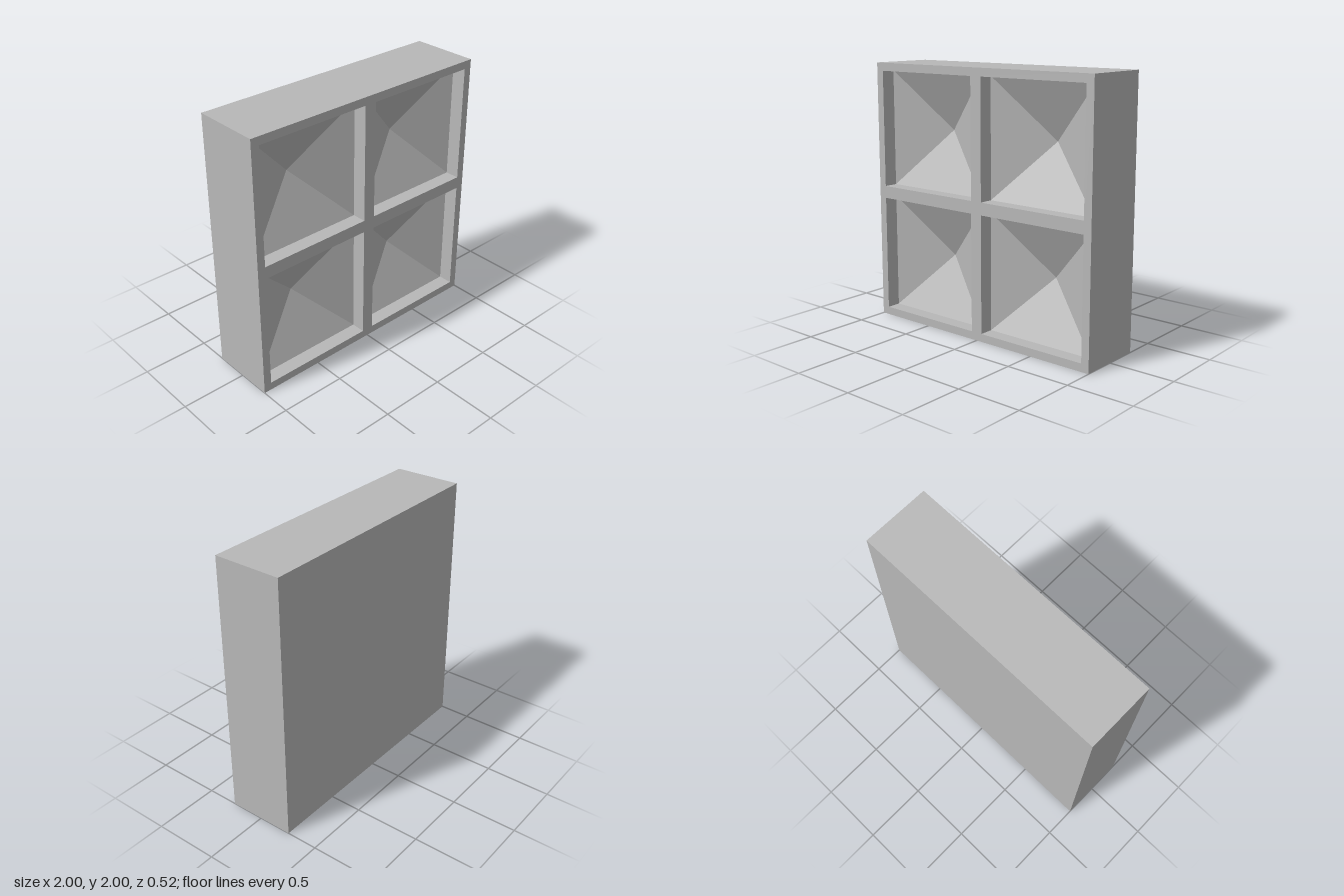
import * as THREE from 'three';

const HALF_Z = 0.26;      // half the block thickness
const POCKET = 0.446;     // half the width of one square pocket
const OFFSET = 0.493;     // pocket centre from the block centre
const RIM = 0.11;         // depth of the straight pocket walls
const APEX = 0.31;        // depth of the pyramid tip

const CORNERS = [[-1, -1], [1, -1], [1, 1], [-1, 1]].map(([x, y]) => [x * POCKET, y * POCKET]);

// Square hole with straight walls that ends in an inverted pyramid
function pocketGeometry() {
  const points = [];
  for (let i = 0; i < 4; i++) {
    const a = CORNERS[i], b = CORNERS[(i + 1) % 4];
    const a0 = [...a, 0], b0 = [...b, 0];
    const a1 = [...a, -RIM], b1 = [...b, -RIM];
    points.push(a0, b0, b1, a0, b1, a1);   // straight wall
    points.push(a1, b1, [0, 0, -APEX]);    // sloped facet
  }
  const geometry = new THREE.BufferGeometry();
  geometry.setAttribute('position', new THREE.Float32BufferAttribute(points.flat(), 3));
  geometry.computeVertexNormals();
  return geometry;
}

export function createModel() {
  const group = new THREE.Group();
  group.name = 'coffered panel';
  const grey = new THREE.MeshStandardMaterial({ color: 0xb8b8b8 });
  grey.name = 'plain grey';

  const add = (name, geometry, x, y, z) => {
    const mesh = new THREE.Mesh(geometry, grey);
    mesh.name = name;
    mesh.position.set(x, y, z);
    group.add(mesh);
  };

  // Block sides and back: a box without its front face
  const box = new THREE.BoxGeometry(2, 2, HALF_Z * 2);
  const index = Array.from(box.index.array);
  index.splice(24, 6);
  box.setIndex(index);
  box.clearGroups();
  add('casing', box, 0, 1, 0);

  // Front grid with four square openings, and a pocket behind each
  const face = new THREE.Shape([[-1, -1], [1, -1], [1, 1], [-1, 1]].map(([x, y]) => new THREE.Vector2(x, y)));
  const pocket = pocketGeometry();
  for (const sy of [1, -1]) {
    for (const sx of [-1, 1]) {
      const cx = sx * OFFSET, cy = sy * OFFSET;
      face.holes.push(new THREE.Path(CORNERS.map(([x, y]) => new THREE.Vector2(cx + x, cy + y)).reverse()));
      add(`${sy > 0 ? 'upper' : 'lower'} ${sx > 0 ? 'left' : 'right'} pocket`, pocket, cx, 1 + cy, HALF_Z);
    }
  }
  add('front grid', new THREE.ShapeGeometry(face), 0, 1, HALF_Z);

  return group;
}
